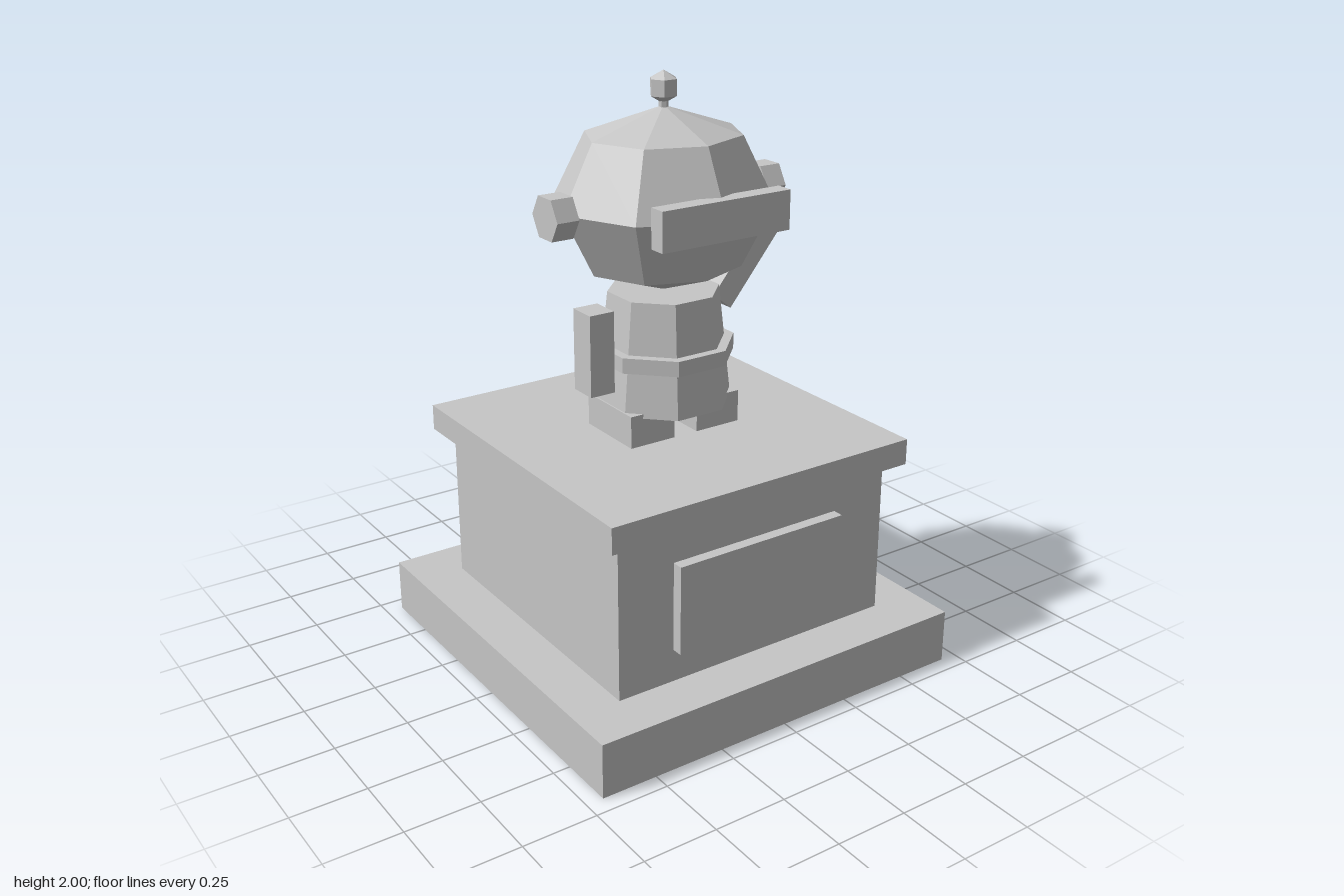
import * as THREE from 'three';

export function createModel() {
  const model = new THREE.Group();
  model.name = 'statueOnPedestal';
  const stone = new THREE.MeshStandardMaterial({ color: 0xc6c6c6, flatShading: true, side: THREE.DoubleSide });
  stone.name = 'stoneGrey';

  const add = (name, geometry, x, y, z) => {
    const mesh = new THREE.Mesh(geometry, stone);
    mesh.name = name;
    mesh.position.set(x, y, z);
    model.add(mesh);
    return mesh;
  };
  // Box given by its width, depth and bottom and top heights
  const slab = (name, w, d, y0, y1, x = 0, z = 0) =>
    add(name, new THREE.BoxGeometry(w, y1 - y0, d), x, (y0 + y1) / 2, z);
  // Eight-sided section with flat sides facing front and sides
  const octagon = (name, rTop, rBottom, y0, y1) => {
    const mesh = add(name, new THREE.CylinderGeometry(rTop, rBottom, y1 - y0, 8), 0, (y0 + y1) / 2, 0);
    mesh.rotation.y = Math.PI / 8;
    return mesh;
  };

  // Pedestal; the base is a hollow shell without a bottom face
  const base = slab('pedestalBase', 1.384, 1.384, 0, 0.186);
  const faces = Array.from(base.geometry.index.array);
  faces.splice(18, 6); // the downward side
  base.geometry.setIndex(faces);
  base.geometry.clearGroups();
  slab('pedestalBlock', 1.046, 1.046, 0.186, 0.726);
  slab('pedestalCap', 1.153, 1.153, 0.726, 0.815);
  slab('plaque', 0.64, 0.06, 0.298, 0.603, 0, 0.531);

  // Body
  octagon('torso', 0.187, 0.229, 0.91, 1.29);
  octagon('belt', 0.239, 0.239, 1.065, 1.117);

  // Head and visor
  const head = add('head', new THREE.SphereGeometry(1, 8, 4), 0, 1.588, 0);
  head.scale.set(0.376, 0.302, 0.341);
  slab('visor', 0.48, 0.06, 1.527, 1.656, 0, 0.316);

  // Antenna
  add('antennaRod', new THREE.CylinderGeometry(0.016, 0.016, 0.06, 6), 0, 1.89, 0);
  add('antennaKnob', new THREE.SphereGeometry(0.053, 6, 3), 0, 1.947, 0);

  // Paired feet and ears
  for (const [side, s] of [['left', 1], ['right', -1]]) {
    slab(side + 'Foot', 0.17, 0.26, 0.815, 0.925, s * 0.13, 0);
    const ear = add(side + 'Ear', new THREE.CylinderGeometry(0.076, 0.076, 0.078, 6), s * 0.4, 1.588, 0);
    ear.rotation.z = Math.PI / 2;
  }

  // Right arm hangs, left arm is raised
  slab('rightArm', 0.09, 0.1, 0.988, 1.264, -0.27, 0);
  const leftArm = slab('leftArm', 0.09, 0.1, 1.182, 1.504, 0.306, 0);
  leftArm.rotation.z = -0.69;

  return model;
}
